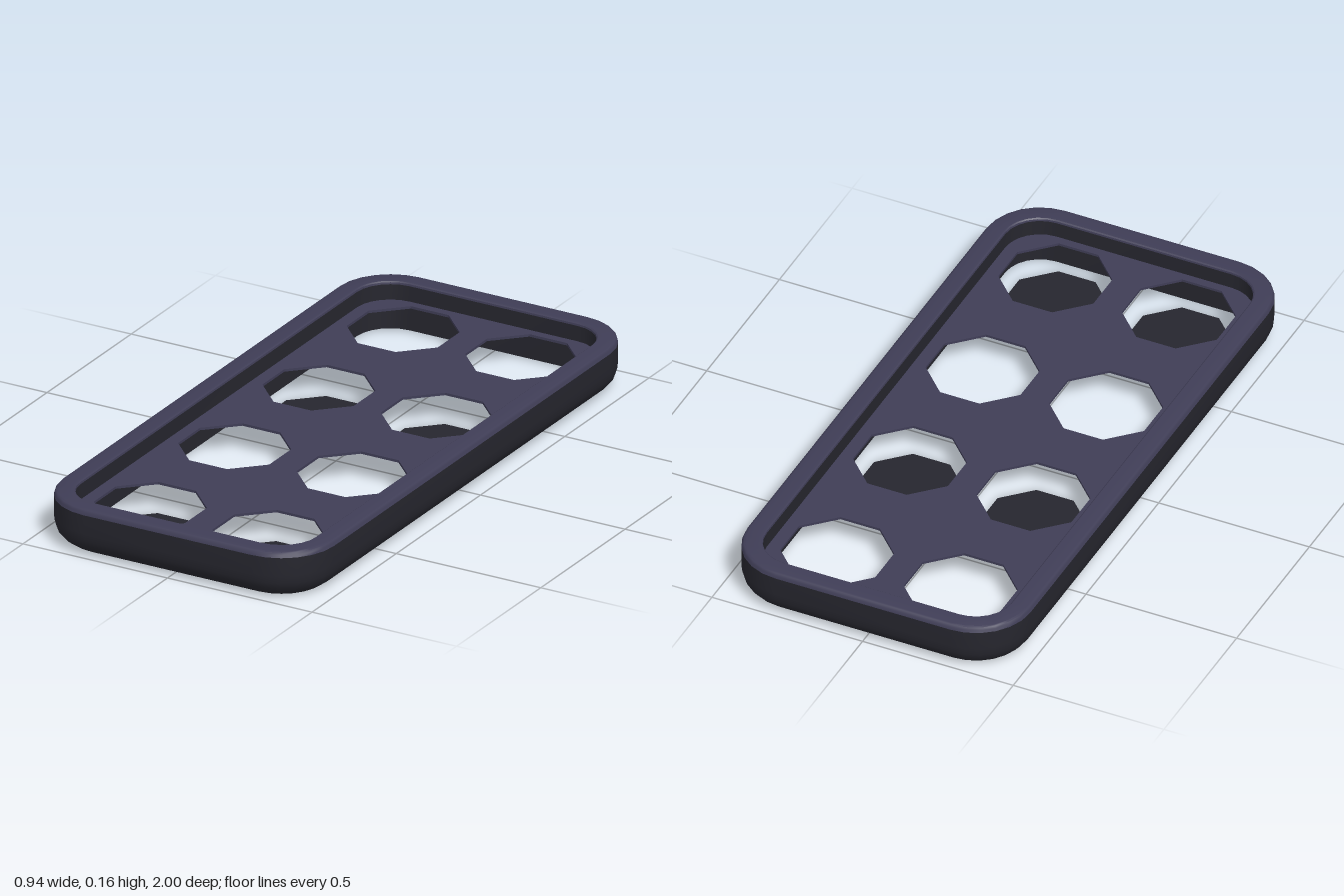
import * as THREE from 'three';
import { toCreasedNormals } from 'three/addons/utils/BufferGeometryUtils.js';

const HALF_X = 0.47, HALF_Z = 1, CORNER = 0.18, CORNER_STEPS = 6;

// Rounded rectangle outline, shrunk by an inset, as [x, z] pairs
function outline(inset) {
  const r = CORNER - inset, pts = [];
  [[1, 1], [-1, 1], [-1, -1], [1, -1]].forEach(([sx, sz], q) => {
    for (let i = 0; i <= CORNER_STEPS; i++) {
      const t = (q + i / CORNER_STEPS) * Math.PI / 2;
      pts.push([sx * (HALF_X - CORNER) + r * Math.cos(t), sz * (HALF_Z - CORNER) + r * Math.sin(t)]);
    }
  });
  return pts;
}

// Sweeps a profile of [inset, y] points around the outline
function ringGeometry(profile) {
  const rows = profile.map(([inset, y]) => outline(inset).map(([x, z]) => [x, y, z]));
  const n = rows[0].length, index = [];
  for (let j = 0; j < rows.length - 1; j++) {
    for (let i = 0; i < n; i++) {
      const a = j * n + i, b = j * n + (i + 1) % n;
      index.push(a, a + n, b, b, a + n, b + n);
    }
  }
  const g = new THREE.BufferGeometry();
  g.setAttribute('position', new THREE.Float32BufferAttribute(rows.flat(2), 3));
  g.setIndex(index);
  return toCreasedNormals(g, 0.6);
}

// Octagon with flat sides along the axes
function octagon(cx, cy, acrossFlats) {
  const r = acrossFlats / 2 / Math.cos(Math.PI / 8);
  return Array.from({ length: 8 }, (_, i) => {
    const t = (i + 0.5) * Math.PI / 4;
    return new THREE.Vector2(cx + r * Math.cos(t), cy + r * Math.sin(t));
  });
}

export function createModel() {
  const charcoal = new THREE.MeshStandardMaterial({ color: 0x26262e, side: THREE.DoubleSide });
  charcoal.name = 'charcoal';
  const slatePurple = new THREE.MeshStandardMaterial({ color: 0x3f3d56, side: THREE.DoubleSide });
  slatePurple.name = 'slate purple';

  const model = new THREE.Group();
  model.name = 'tray';
  const add = (name, geometry, material) => {
    const mesh = new THREE.Mesh(geometry, material);
    mesh.name = name;
    model.add(mesh);
    return mesh;
  };

  // Outer wall with a rounded lower edge, and its inner face
  add('outerWall', ringGeometry([
    [0.065, 0.004], [0.045, 0.004], [0.025, 0.018], [0.01, 0.036], [0.003, 0.055], [0, 0.08], [0, 0.14],
  ]), charcoal);
  add('innerWall', ringGeometry([[0.065, 0.148], [0.065, 0.004]]), charcoal);

  // Rim capping the wall
  add('rim', ringGeometry([
    [0, 0.14], [0.002, 0.149], [0.007, 0.155], [0.013, 0.157], [0.06, 0.157], [0.064, 0.154], [0.065, 0.148],
  ]), slatePurple);

  // Raised floor with octagonal openings
  const floor = new THREE.Shape(outline(0.063).map(([x, z]) => new THREE.Vector2(x, z)));
  const rows = [-0.75, -0.25, 0.25, 0.75], columns = [-0.205, 0.205];
  rows.forEach((z) => columns.forEach((x) => {
    floor.holes.push(new THREE.Path(octagon(x, -z, 0.315).reverse()));
  }));
  const floorGeometry = new THREE.ExtrudeGeometry(floor, { depth: 0.008, bevelEnabled: false });
  floorGeometry.rotateX(-Math.PI / 2);
  add('floor', floorGeometry, slatePurple).position.y = 0.09;

  // Flat discs under every second row of openings
  [-0.25, 0.75].forEach((z) => columns.forEach((x) => {
    const g = new THREE.ShapeGeometry(new THREE.Shape(octagon(0, 0, 0.298)));
    g.rotateX(-Math.PI / 2);
    add('disc', g, charcoal).position.set(x, 0, z);
  }));

  return model;
}
